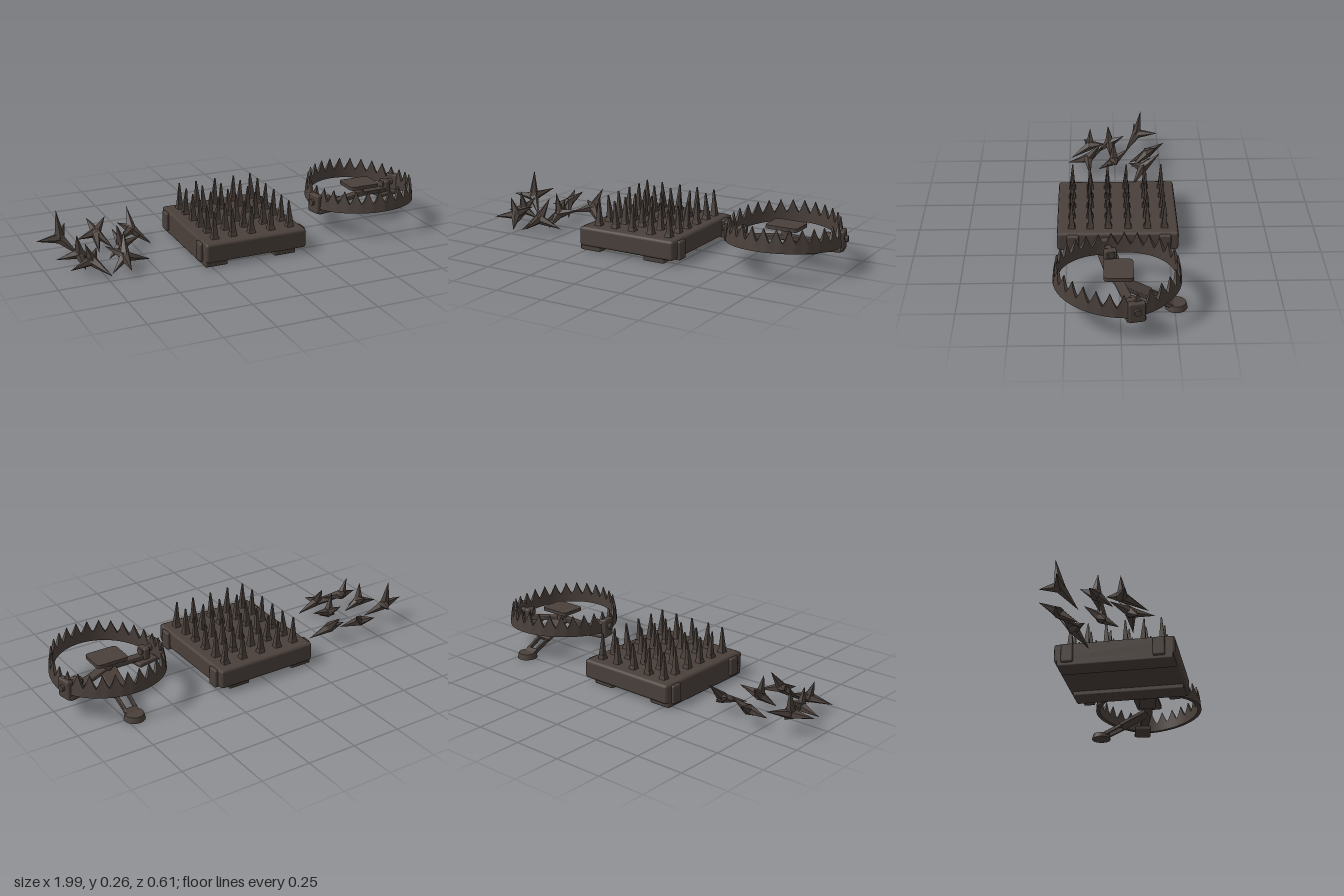
import * as THREE from 'three';
import { toCreasedNormals } from 'three/addons/utils/BufferGeometryUtils.js';
import { RoundedBoxGeometry } from 'three/addons/geometries/RoundedBoxGeometry.js';

const iron = new THREE.MeshStandardMaterial({ color: 0x4a403b });
iron.name = 'darkIron';

function add(parent, name, geo, x = 0, y = 0, z = 0) {
  const m = new THREE.Mesh(geo, iron);
  m.name = name;
  m.position.set(x, y, z);
  parent.add(m);
  return m;
}
const chamfered = (w, h, d, r) => new RoundedBoxGeometry(w, h, d, 1, r);
const sharp = (geo) => toCreasedNormals(geo, 0.6);

// Flat bar laid between two points
function beam(parent, name, a, b, w, h) {
  const A = new THREE.Vector3(...a), B = new THREE.Vector3(...b);
  const m = add(parent, name, chamfered(w, h, A.distanceTo(B), Math.min(w, h) * 0.2));
  m.position.copy(A).add(B).multiplyScalar(0.5);
  m.lookAt(B);
  return m;
}

// Curved jaw with saw teeth, swept in cross-sections over half a turn
function jawGeometry(start, end, teeth) {
  const pos = [], idx = [], per = 6, n = teeth * per;
  for (let i = 0; i <= n; i++) {
    const t = i / n, a = start + (end - start) * t;
    const tooth = 1 - Math.abs(((i % per) / per) * 2 - 1);
    const bottom = 0.122 + 0.026 * Math.sin(Math.PI * t);
    const peak = Math.pow(tooth, 1.25);
    const top = bottom + 0.045 + 0.066 * peak;
    const rTop = 0.281 - 0.006 * peak, half = 0.009 - 0.006 * peak;
    const section = [
      [0.272, bottom], [0.293, bottom], [rTop + half, top], [rTop - half, top],
    ];
    for (const [r, y] of section) pos.push(r * Math.cos(a) * 0.945, y, -r * Math.sin(a));
  }
  for (let i = 0; i < n; i++) for (let k = 0; k < 4; k++) {
    const a = i * 4 + k, b = i * 4 + (k + 1) % 4;
    idx.push(a, a + 4, b + 4, a, b + 4, b);
  }
  const e = n * 4;
  idx.push(0, 1, 2, 0, 2, 3, e, e + 2, e + 1, e, e + 3, e + 2);
  const g = new THREE.BufferGeometry();
  g.setAttribute('position', new THREE.Float32BufferAttribute(pos, 3));
  g.setIndex(idx);
  return sharp(g);
}

function spikeBoard() {
  const g = new THREE.Group();
  g.name = 'spikeBoard';
  add(g, 'board', chamfered(0.535, 0.098, 0.595, 0.014), -0.015, 0.071, 0);
  // Runners underneath
  for (const x of [-0.225, 0.14]) add(g, 'runner', chamfered(0.115, 0.04, 0.57, 0.006), x, 0.02, 0.003);
  // Side clamps near the corners
  for (const s of [-1, 1]) for (const z of [-0.23, 0.22])
    add(g, 'sideClamp', chamfered(0.03, 0.095, 0.06, 0.008), -0.015 + s * 0.267, 0.064, z);
  // Rows of square spikes on collars
  const collar = sharp(new THREE.CylinderGeometry(0.018, 0.026, 0.024, 4));
  const spike = sharp(new THREE.CylinderGeometry(0.004, 0.02, 0.125, 4));
  collar.rotateY(Math.PI / 4);
  spike.rotateY(Math.PI / 4);
  [-0.21, -0.115, -0.015, 0.09, 0.19].forEach((x, i) => {
    [-0.23, -0.145, -0.05, 0.045, 0.135, 0.225].forEach((z, j) => {
      add(g, 'spikeCollar', collar, x, 0.128, z);
      const m = add(g, 'spike', spike, x, 0.192, z);
      m.rotation.set(0.05 * Math.sin(i * 3 + j * 2), 0, 0.06 * Math.sin(i * 2 + j * 5));
    });
  });
  return g;
}

function jawTrap() {
  const g = new THREE.Group();
  g.name = 'jawTrap';
  const cx = 0.70, cz = 0.012, turn = 0.2;
  // Two toothed jaws meeting at the hinges
  for (const k of [0, 1])
    add(g, 'jaw', jawGeometry(turn + k * Math.PI, turn + (k + 1) * Math.PI, 14), cx, 0, cz);

  // Hinge assemblies
  for (const s of [-1, 1]) {
    const h = new THREE.Group();
    h.name = 'hinge';
    h.position.set(s > 0 ? 0.935 : 0.45, 0, s > 0 ? -0.062 : 0.048);
    h.rotation.y = turn + (s > 0 ? 0 : Math.PI);
    add(h, 'hingeFoot', chamfered(0.13, 0.022, 0.09, 0.006), -0.035, 0.107, 0);
    add(h, 'hingeBlock', chamfered(0.034, 0.1, 0.078, 0.008), 0.024, 0.148, 0);
    add(h, 'innerBlock', chamfered(0.035, 0.06, 0.06, 0.008), -0.038, 0.145, 0);
    const bolt = add(h, 'bolt', sharp(new THREE.CylinderGeometry(0.016, 0.018, 0.12, 12)), -0.005, 0.157, 0);
    bolt.rotation.z = -Math.PI / 2;
    g.add(h);
  }

  // Cross bars and trigger plate
  beam(g, 'crossBar', [0.47, 0.122, 0.046], [0.71, 0.145, 0.008], 0.044, 0.022);
  beam(g, 'crossBar', [0.91, 0.122, -0.055], [0.71, 0.145, 0.008], 0.044, 0.022);
  add(g, 'plateColumn', new THREE.CylinderGeometry(0.022, 0.028, 0.065, 12), 0.708, 0.168, 0.005);
  const s = new THREE.Shape(), w = 0.083, d = 0.068, c = 0.022;
  s.moveTo(-w + c, -d);
  s.lineTo(w - c, -d);
  s.quadraticCurveTo(w, -d, w, -d + c);
  s.lineTo(w, d - c);
  s.quadraticCurveTo(w, d, w - c, d);
  s.lineTo(-w + c, d);
  s.quadraticCurveTo(-w, d, -w, d - c);
  s.lineTo(-w, -d + c);
  s.quadraticCurveTo(-w, -d, -w + c, -d);
  const plate = new THREE.ExtrudeGeometry(s, { depth: 0.018, bevelEnabled: false, curveSegments: 5 });
  plate.rotateX(-Math.PI / 2);
  add(g, 'triggerPlate', sharp(plate), 0.706, 0.19, 0.006);

  // Forked lever reaching back to a round foot
  beam(g, 'leverRoot', [0.71, 0.14, 0.0], [0.71, 0.068, -0.145], 0.088, 0.02);
  for (const k of [-1, 1])
    beam(g, 'leverFork', [0.71 + k * 0.03, 0.07, -0.135], [0.71 + k * 0.026, 0.02, -0.24], 0.016, 0.02);
  beam(g, 'leverEnd', [0.71, 0.034, -0.215], [0.71, 0.014, -0.25], 0.068, 0.02);
  add(g, 'leverFoot', sharp(new THREE.CylinderGeometry(0.045, 0.052, 0.028, 16)), 0.71, 0.014, -0.258);
  return g;
}

// Caltrops: centre, then the offset of each point
const CALTROPS = [
  [[-0.88, 0.10, -0.13], [0.06, 0.03, -0.11], [-0.12, 0.005, 0.015], [0.08, -0.08, 0.07], [-0.005, 0.14, -0.02]],
  [[-0.68, 0.08, -0.18], [-0.02, 0.05, -0.09], [0.065, 0.06, -0.045], [0.06, -0.06, 0.09], [-0.1, -0.02, 0.01], [-0.015, -0.07, 0.1]],
  [[-0.505, 0.08, -0.15], [0.01, 0.09, -0.09], [0.085, -0.07, 0.06], [-0.09, -0.02, 0.075], [-0.06, 0.03, -0.04]],
  [[-0.83, 0.07, 0.025], [-0.11, -0.02, -0.01], [0.02, 0.05, -0.08], [0.09, -0.04, 0.0], [0.01, -0.06, 0.075], [-0.01, 0.1, 0.01]],
  [[-0.61, 0.07, 0.005], [0.11, 0.03, -0.015], [-0.02, 0.06, -0.08], [-0.075, -0.05, 0.035], [-0.01, -0.06, 0.085], [-0.02, 0.11, 0.0]],
  [[-0.80, 0.07, 0.135], [0.05, 0.03, -0.08], [-0.115, -0.02, 0.035], [0.065, -0.05, 0.11], [-0.03, 0.09, 0.0]],
  [[-0.64, 0.07, 0.145], [-0.07, 0.03, -0.085], [0.13, -0.04, -0.01], [-0.005, -0.03, 0.115], [-0.08, -0.06, 0.05], [0.02, 0.1, -0.07]],
];

function caltrop([centre, ...tips]) {
  const g = new THREE.Group();
  g.name = 'caltrop';
  g.position.set(...centre);
  add(g, 'caltropCore', new THREE.IcosahedronGeometry(0.026, 1));
  for (const t of tips) {
    const dir = new THREE.Vector3(...t), len = dir.length();
    const geo = new THREE.ConeGeometry(0.027, len, 5);
    geo.translate(0, len / 2, 0);
    const m = add(g, 'caltropPoint', sharp(geo));
    m.quaternion.setFromUnitVectors(new THREE.Vector3(0, 1, 0), dir.normalize());
  }
  return g;
}

export function createModel() {
  const model = new THREE.Group();
  model.name = 'traps';
  model.add(spikeBoard(), jawTrap());
  for (const c of CALTROPS) model.add(caltrop(c));
  return model;
}
